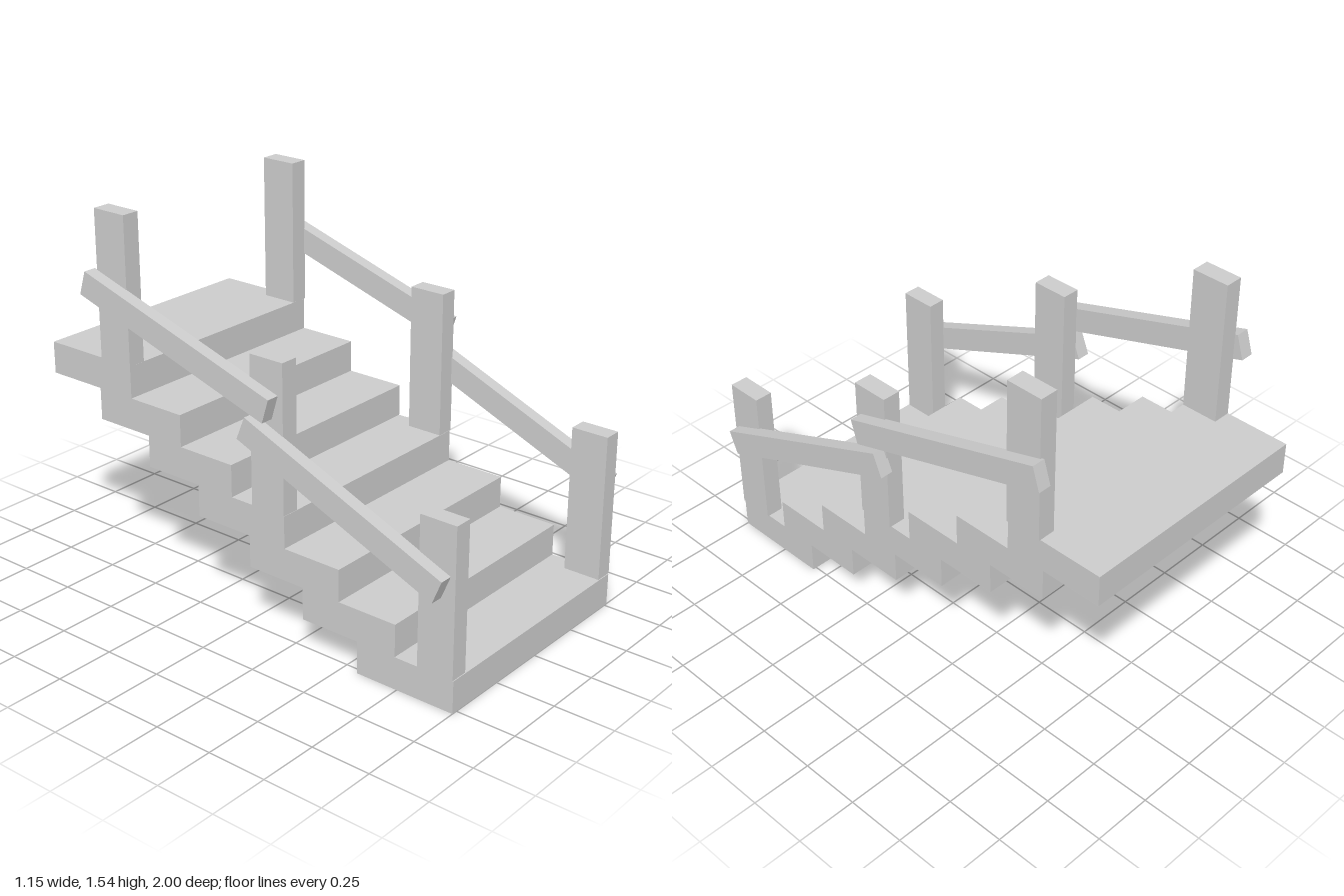
import * as THREE from 'three';

const STEPS = 7, RISE = 0.1333, PITCH = 0.261, TREAD = 0.434;

export function createModel() {
  const group = new THREE.Group();
  const material = new THREE.MeshStandardMaterial({ color: 0xcccccc, flatShading: true });

  const addBox = (name, size, position, tilt = 0) => {
    const mesh = new THREE.Mesh(new THREE.BoxGeometry(...size), material);
    mesh.name = name;
    mesh.position.set(...position);
    mesh.rotation.x = tilt;
    group.add(mesh);
  };

  // Staircase: sawtooth side profile (z, y), up the treads and back down the underside
  const profile = [];
  for (let i = 0; i < STEPS; i++) {
    const front = 1 - i * PITCH;
    profile.push(new THREE.Vector2(front, i * RISE), new THREE.Vector2(front, (i + 1) * RISE));
  }
  for (let i = STEPS - 1; i >= 0; i--) {
    const back = 1 - TREAD - i * PITCH;
    profile.push(new THREE.Vector2(back, (i + 1) * RISE), new THREE.Vector2(back, i * RISE));
  }
  const stairGeometry = new THREE.ExtrudeGeometry(new THREE.Shape(profile), { depth: 1.04, bevelEnabled: false });
  stairGeometry.rotateY(-Math.PI / 2).translate(0.516, 0, 0);
  const stairs = new THREE.Mesh(stairGeometry, material);
  stairs.name = 'stairs';
  group.add(stairs);

  for (const side of [-1, 1]) {
    const label = side > 0 ? 'left' : 'right';

    // Posts on the first, fourth and seventh steps
    [['Front', 0, 0.918], ['Middle', 3, 0.137], ['Back', 6, -0.645]].forEach(([place, step, z]) => {
      const base = (step + 1) * RISE;
      addBox(label + place + 'Post', [0.076, 0.607, 0.157], [side * 0.486, base + 0.3035, z]);
    });

    // Sloping handrails fixed to the outside of the posts
    const railX = side * 0.548 - 0.002;
    addBox(label + 'LowerRail', [0.056, 0.103, 0.973], [railX, 0.678, 0.506], 0.39);
    addBox(label + 'UpperRail', [0.056, 0.103, 0.973], [railX, 1.104, -0.287], 0.302);
  }

  return group;
}
